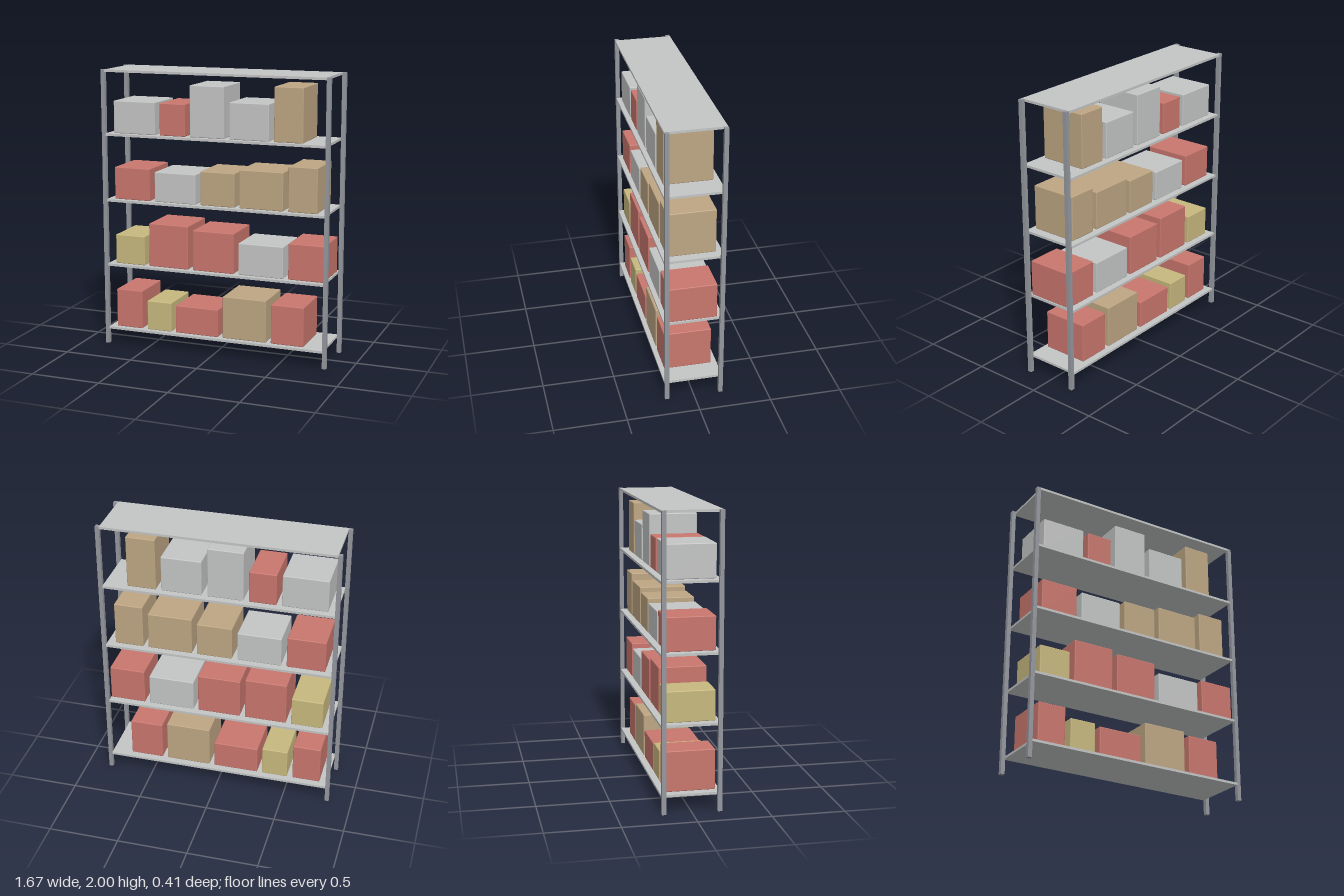
import * as THREE from 'three';
import { RoundedBoxGeometry } from 'three/addons/geometries/RoundedBoxGeometry.js';

const material = (name, color) => {
  const m = new THREE.MeshStandardMaterial({ color });
  m.name = name;
  return m;
};

export function createModel() {
  const model = new THREE.Group();
  model.name = 'storageRack';

  const postMetal = material('post steel', 0x94979d);
  const shelfMetal = material('shelf grey', 0xc3c5c4);
  const red = material('red', 0xc8766d);
  const tan = material('tan', 0xbda582);
  const yellow = material('yellow', 0xc7b87e);
  const grey = material('box grey', 0xc3c5c4);

  const add = (parent, name, geometry, mat, x, y, z) => {
    const mesh = new THREE.Mesh(geometry, mat);
    mesh.name = name;
    mesh.position.set(x, y, z);
    parent.add(mesh);
  };

  // Four corner posts
  const post = new THREE.BoxGeometry(0.029, 2, 0.029);
  for (const sx of [-1, 1]) {
    for (const sz of [-1, 1]) {
      add(model, `${sz > 0 ? 'front' : 'back'}${sx > 0 ? 'Left' : 'Right'}Post`, post, postMetal, sx * 0.822, 1, sz * 0.189);
    }
  }

  // Shelf boards spanning between the posts
  const thickness = 0.017;
  const shelfTops = [0.127, 0.601, 1.075, 1.549, 2];
  const board = new THREE.BoxGeometry(1.615, thickness, 0.406);
  shelfTops.forEach((top, i) => add(model, `shelf${i + 1}`, board, shelfMetal, 0, top - thickness / 2, 0));

  // Stored boxes per shelf: [x start, x end, top, colour]
  const rows = [
    [[-0.756, -0.555, 0.408, red], [-0.515, -0.328, 0.342, yellow], [-0.293, 0.029, 0.329, red],
      [0.066, 0.388, 0.432, tan], [0.425, 0.663, 0.411, red]],
    [[-0.756, -0.531, 0.814, yellow], [-0.494, -0.196, 0.915, red], [-0.159, 0.148, 0.891, red],
      [0.182, 0.51, 0.828, grey], [0.547, 0.803, 0.857, red]],
    [[-0.756, -0.486, 1.307, red], [-0.447, -0.137, 1.289, grey], [-0.1, 0.153, 1.316, tan],
      [0.188, 0.505, 1.345, tan], [0.542, 0.748, 1.39, tan]],
    [[-0.756, -0.441, 1.78, grey], [-0.404, -0.214, 1.777, red], [-0.177, 0.074, 1.91, grey],
      [0.114, 0.399, 1.805, grey], [0.436, 0.642, 1.925, tan]],
  ];
  const back = -0.16, front = 0.172;
  rows.forEach((row, i) => {
    const group = new THREE.Group();
    group.name = `boxesOnShelf${i + 1}`;
    const base = shelfTops[i] + 0.001;
    row.forEach(([x0, x1, top, mat], j) => {
      const geometry = new RoundedBoxGeometry(x1 - x0, top - base, front - back, 2, 0.006);
      add(group, `storageBox${j + 1}`, geometry, mat, (x0 + x1) / 2, (top + base) / 2, (front + back) / 2);
    });
    model.add(group);
  });

  return model;
}
